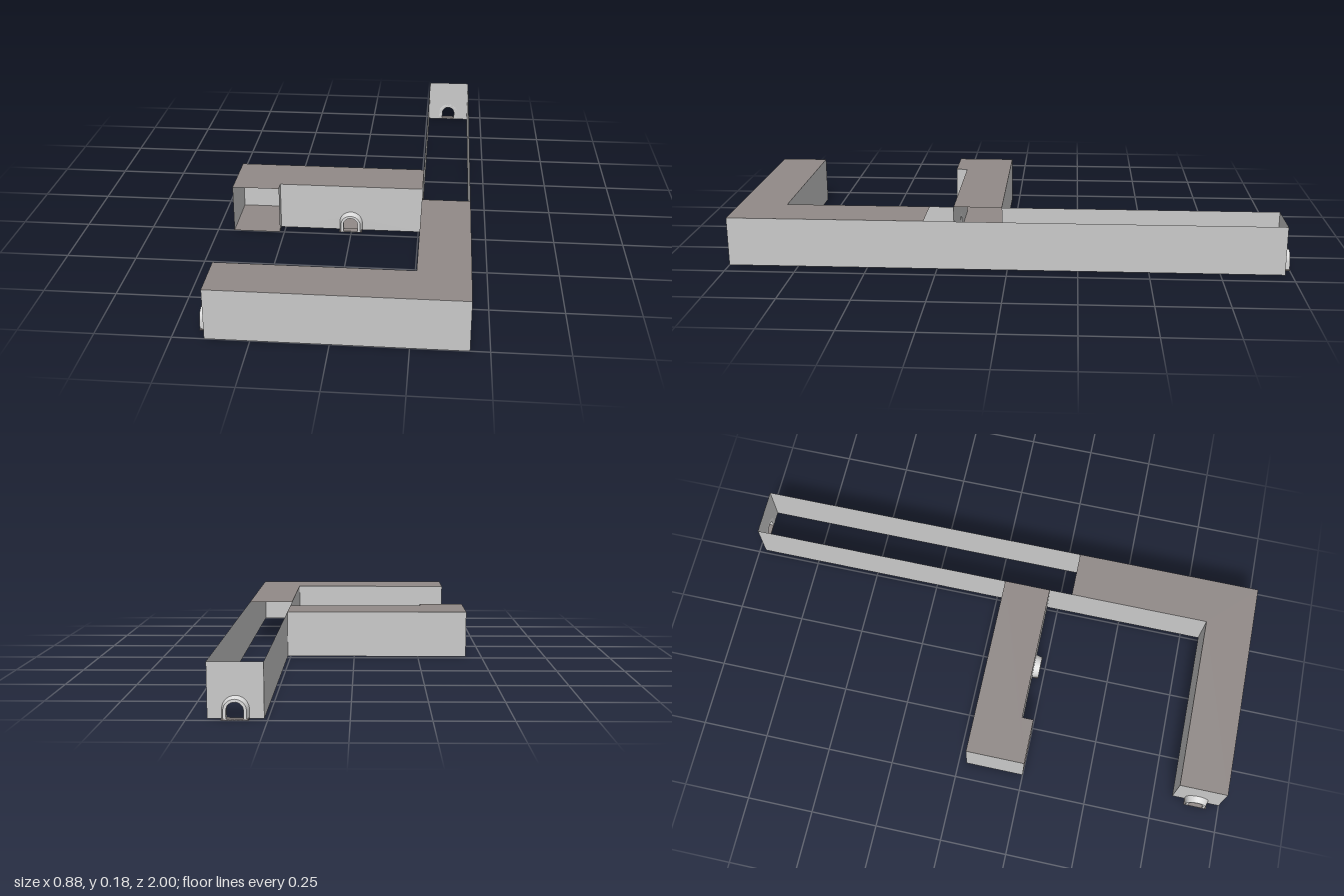
import * as THREE from 'three';

const H = 0.177;        // corridor height
const SPRING = 0.03;    // height where the door arch begins
const OUTER = 0.0425;   // half width of the door frame
const INNER = 0.027;    // half width of the door opening
const DEPTH = 0.024;    // how far a door frame stands out

const material = (name, color, side = THREE.FrontSide) => {
  const m = new THREE.MeshStandardMaterial({ color, side });
  m.name = name;
  return m;
};

// Traces an arch standing on y = 0
function arch(path, cx, r) {
  path.moveTo(cx - r, 0);
  path.lineTo(cx + r, 0);
  path.lineTo(cx + r, SPRING);
  path.absarc(cx, SPRING, r, 0, Math.PI, false);
  path.lineTo(cx - r, 0);
  return path;
}

export function createModel() {
  const group = new THREE.Group();
  const wallMat = material('light grey wall', 0xc9c9c9, THREE.DoubleSide);
  const slabMat = material('warm grey slab', 0x918a88, THREE.DoubleSide);
  const frameMat = material('pale door frame', 0xdcdcdc);

  const add = (parent, name, geometry, mat) => {
    const mesh = new THREE.Mesh(geometry, mat);
    mesh.name = name;
    parent.add(mesh);
    return mesh;
  };

  // Thin upright wall from (x0, z0) to (x1, z1), with an optional arched opening
  function wall(name, x0, z0, x1, z1, doorAt) {
    const length = Math.hypot(x1 - x0, z1 - z0);
    const shape = new THREE.Shape();
    if (doorAt === undefined) {
      shape.moveTo(0, 0);
      shape.lineTo(length, 0);
    } else {
      // the opening reaches the floor, so it is part of the outline
      shape.moveTo(0, 0);
      shape.lineTo(doorAt - INNER, 0);
      shape.lineTo(doorAt - INNER, SPRING);
      shape.absarc(doorAt, SPRING, INNER, Math.PI, 0, true);
      shape.lineTo(doorAt + INNER, 0);
      shape.lineTo(length, 0);
    }
    shape.lineTo(length, H);
    shape.lineTo(0, H);
    const mesh = add(group, name, new THREE.ShapeGeometry(shape, 12), wallMat);
    mesh.position.set(x0, 0, z0);
    mesh.rotation.y = Math.atan2(-(z1 - z0), x1 - x0);
  }

  // Flat slab outlined by [x, z] corners
  function slab(name, y, corners) {
    const shape = new THREE.Shape(corners.map(([x, z]) => new THREE.Vector2(x, -z)));
    const mesh = add(group, name, new THREE.ShapeGeometry(shape), slabMat);
    mesh.rotation.x = -Math.PI / 2;
    mesh.position.y = y;
  }

  // Arched frame that narrows outwards, on a threshold; faces +z before turning
  function door(name, x, z, turn) {
    const part = new THREE.Group();
    part.name = name;
    const shape = arch(new THREE.Shape(), 0, OUTER);
    // a tiny lift keeps the opening inside the outline
    const hole = new THREE.Path();
    hole.moveTo(-INNER, 0.003);
    hole.lineTo(INNER, 0.003);
    hole.lineTo(INNER, SPRING);
    hole.absarc(0, SPRING, INNER, 0, Math.PI, false);
    hole.lineTo(-INNER, 0.003);
    shape.holes.push(hole);
    const geometry = new THREE.ExtrudeGeometry(shape, { depth: DEPTH, bevelEnabled: false, curveSegments: 12 });
    const p = geometry.attributes.position;
    for (let i = 0; i < p.count; i++) {
      const rise = Math.max(0, p.getY(i) - SPRING);
      if (p.getZ(i) < DEPTH / 2 || Math.hypot(p.getX(i), rise) < INNER + 0.005) continue;
      p.setX(i, p.getX(i) * 0.85);
      if (rise > 0) p.setY(i, SPRING + rise * 0.85);
    }
    geometry.computeVertexNormals();
    add(part, 'doorFrame', geometry, frameMat);
    const sill = add(part, 'threshold', new THREE.BoxGeometry(OUTER * 2, 0.004, DEPTH), slabMat);
    sill.position.set(0, 0.0022, DEPTH / 2);
    part.position.set(x, 0, z);
    part.rotation.y = turn;
    group.add(part);
  }

  // Long corridor, open to the sky at its back half
  wall('longOuterWall', 0.437, 1, 0.437, -0.976);
  wall('longBackWall', 0.262, -0.976, 0.437, -0.976, 0.0875);
  wall('longInnerWallBack', 0.262, -0.976, 0.262, 0.03);
  wall('longInnerWallFront', 0.262, 0.207, 0.262, 0.823);

  // Front corridor
  wall('frontOuterWall', -0.396, 1, 0.437, 1);
  wall('frontInnerWall', -0.396, 0.823, 0.262, 0.823);
  wall('frontEndWall', -0.396, 0.823, -0.396, 1, 0.0885);
  slab('frontRoof', H, [[-0.396, 1], [0.437, 1], [0.437, 0.295], [0.262, 0.295], [0.262, 0.823], [-0.396, 0.823]]);

  // Middle corridor with a short open spur
  wall('middleBackWall', -0.439, 0.03, 0.262, 0.03);
  wall('middleEndWall', -0.439, 0.03, -0.439, 0.25);
  wall('spurSideWall', -0.267, 0.207, -0.267, 0.25);
  wall('middleFrontWall', -0.267, 0.207, 0.262, 0.207, 0.264);
  const middle = [[-0.439, 0.25], [-0.267, 0.25], [-0.267, 0.207], [0.262, 0.207], [0.262, 0.03], [-0.439, 0.03]];
  slab('middleRoof', H, middle);
  slab('middleFloor', 0, middle);

  // Doors
  door('backDoor', 0.3495, -0.976, Math.PI);
  door('frontCorridorDoor', -0.396, 0.9115, -Math.PI / 2);
  door('middleDoor', -0.003, 0.207, 0);

  return group;
}
